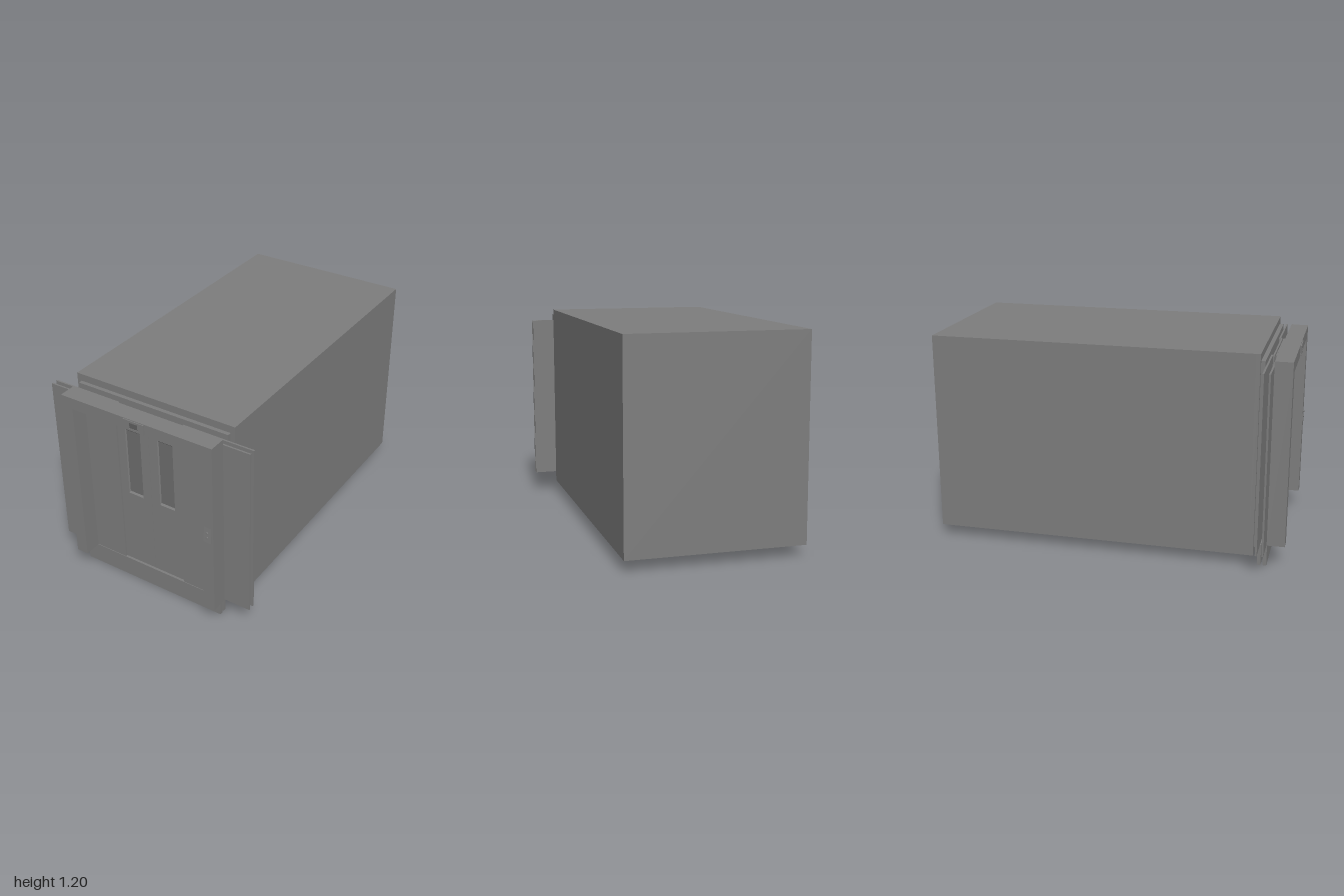
import * as THREE from 'three';

const paint = (color) => new THREE.MeshStandardMaterial({ color, flatShading: true });
const steel = paint(0x7d7d7d);
const pane = paint(0x6e6e6e);
const screen = paint(0x606060);
const thin = paint(0x7d7d7d);
thin.side = THREE.DoubleSide;

function add(parent, name, geometry, material = steel) {
  const mesh = new THREE.Mesh(geometry, material);
  mesh.name = name;
  parent.add(mesh);
}

function group(parent, name) {
  const g = new THREE.Group();
  g.name = name;
  parent.add(g);
  return g;
}

// Box given by its limits on each axis
function box(parent, name, [x0, x1, y0, y1, z0, z1], material) {
  const g = new THREE.BoxGeometry(x1 - x0, y1 - y0, z1 - z0);
  g.translate((x0 + x1) / 2, (y0 + y1) / 2, (z0 + z1) / 2);
  add(parent, name, g, material);
}

function rect(Type, x0, x1, y0, y1) {
  return new Type([[x0, y0], [x1, y0], [x1, y1], [x0, y1]].map(([x, y]) => new THREE.Vector2(x, y)));
}

// Flat plate with a rectangular opening
function plate(parent, name, outer, hole, z0, z1) {
  const shape = rect(THREE.Shape, ...outer);
  shape.holes.push(rect(THREE.Path, ...hole));
  const g = new THREE.ExtrudeGeometry(shape, { depth: z1 - z0, bevelEnabled: false });
  g.translate(0, 0, z0);
  add(parent, name, g);
}

// U-shaped door surround, open at the bottom
function surround(parent, name, y0, z0, z1) {
  const g = group(parent, name);
  box(g, 'leftJamb', [0.4, 0.467, y0, 1.09, z0, z1]);
  box(g, 'rightJamb', [-0.47, -0.4, y0, 1.09, z0, z1]);
  box(g, 'header', [-0.47, 0.467, 1.09, 1.156, z0, z1]);
}

// Sloping reveal between a window opening and its smaller pane
function windowReveal(parent, cx, zFront, zBack) {
  const loop = (hw, y0, y1, z) => [[cx - hw, y0, z], [cx + hw, y0, z], [cx + hw, y1, z], [cx - hw, y1, z]];
  const a = loop(0.048, 0.582, 1.0, zFront), b = loop(0.044, 0.592, 0.987, zBack);
  const pos = [];
  for (let i = 0; i < 4; i++) {
    const j = (i + 1) % 4;
    pos.push(...a[i], ...a[j], ...b[j], ...a[i], ...b[j], ...b[i]);
  }
  const g = new THREE.BufferGeometry();
  g.setAttribute('position', new THREE.Float32BufferAttribute(pos, 3));
  g.computeVertexNormals();
  add(parent, 'windowReveal', g, thin);
}

// One set of telescopic doors facing +z
function doorSet(parent, name) {
  const g = group(parent, name);
  for (const s of [-1, 1]) {
    const span = (a, b) => (s > 0 ? [a, b] : [-b, -a]);
    box(g, 'slowPanel', [...span(0.2, 0.622), 0.12, 1.125, 0.013, 0.023]);
    const cx = s * 0.103;
    plate(g, 'fastPanel', [...span(0.0005, 0.215), 0.12, 1.125],
      [cx - 0.048, cx + 0.048, 0.582, 1.0], 0.003, 0.012);
    windowReveal(g, cx, 0.012, 0.0045);
    box(g, 'windowPane', [cx - 0.047, cx + 0.047, 0.583, 0.999, 0.003, 0.0045], pane);
  }
  return g;
}

export function createModel() {
  const model = new THREE.Group();
  model.name = 'elevator';

  // Hollow car with a doorway in its front wall
  const car = group(model, 'car');
  const outline = [-0.497, 0.493, 0.064, 1.197];
  plate(car, 'carShell', outline, [-0.477, 0.473, 0.1, 1.177], -0.98, 0.8);
  box(car, 'backWall', [...outline, -1, -0.98]);
  plate(car, 'frontWall', outline, [-0.4, 0.4, 0.12, 1.09], 0.8, 0.825);
  surround(car, 'carSurround', 0.105, 0.825, 0.848);

  // Landing doors, and matching car doors turned the other way
  doorSet(model, 'landingDoors').position.z = 0.8705;
  const carDoors = doorSet(model, 'carDoors');
  carDoors.position.z = 0.8715;
  carDoors.rotation.y = Math.PI;

  // Sills under each set of doors
  box(model, 'landingSill', [-0.47, 0.44, 0, 0.12, 0.877, 0.897]);
  box(model, 'carSill', [-0.47, 0.44, 0, 0.12, 0.845, 0.865]);

  // Landing surround
  surround(model, 'landingSurround', 0.12, 0.8945, 0.993);

  // Floor indicator on the header
  const indicator = group(model, 'floorIndicator');
  plate(indicator, 'indicatorPlate', [-0.065, 0.065, 1.096, 1.152], [-0.026, 0.026, 1.107, 1.14], 0.993, 0.999);
  box(indicator, 'indicatorScreen', [-0.026, 0.026, 1.107, 1.14, 0.99, 0.996], screen);

  // Wedge-shaped call panel, thickest at its foot, with two round buttons
  const call = group(model, 'callPanel');
  const side = new THREE.Shape([[0, 0.57], [0.005, 0.57], [0, 0.665]].map(([z, y]) => new THREE.Vector2(z, y)));
  const body = new THREE.ExtrudeGeometry(side, { depth: 0.044, bevelEnabled: false });
  body.rotateY(-Math.PI / 2).translate(0.455, 0, 0.993);
  add(call, 'callPlate', body);
  for (const y of [0.6, 0.63]) {
    const button = new THREE.CylinderGeometry(0.007, 0.007, 0.007, 16);
    button.rotateX(Math.PI / 2).translate(0.432, y, 0.9965);
    add(call, 'callButton', button);
  }

  return model;
}
